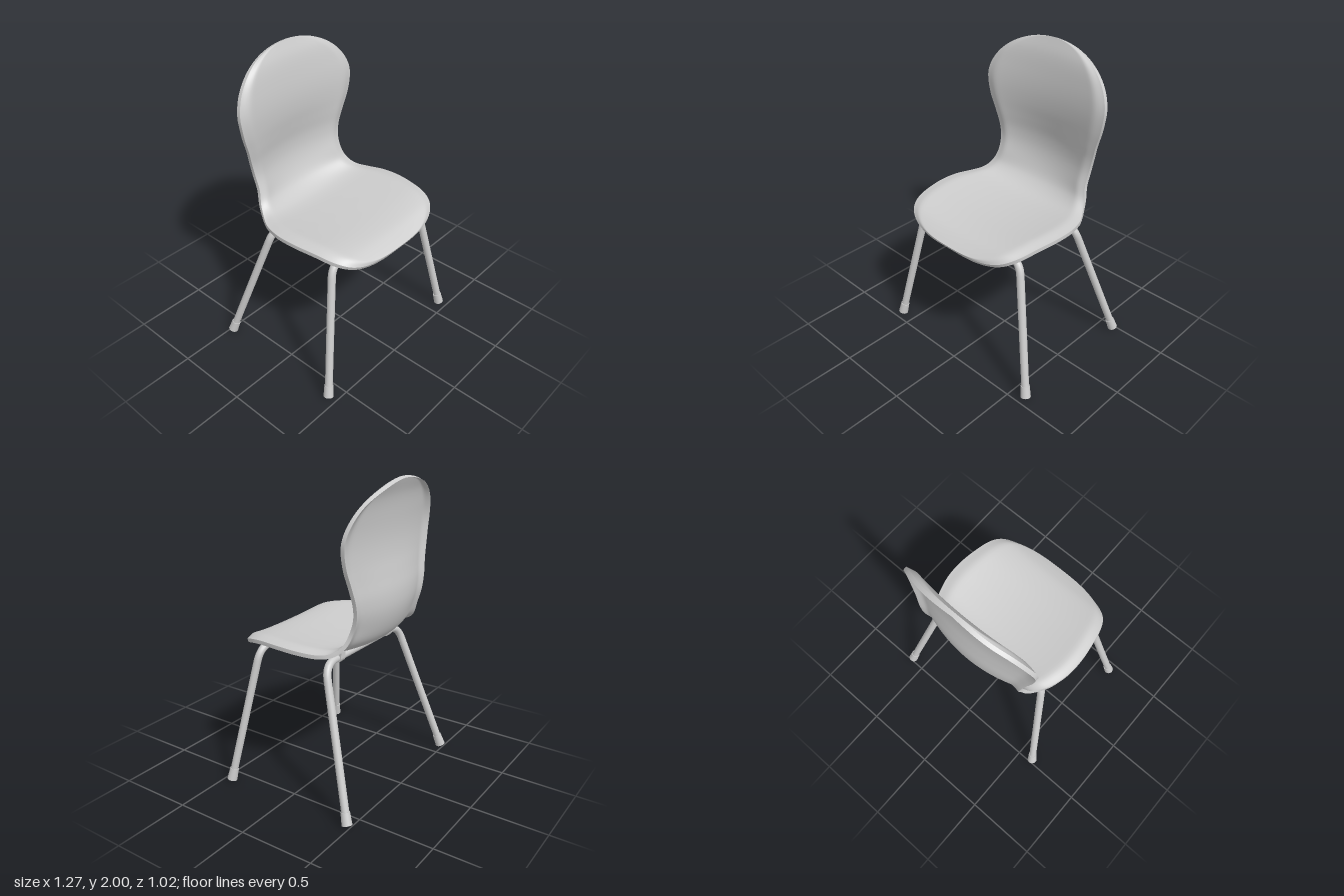
import * as THREE from 'three';

const V = (x, y, z) => new THREE.Vector3(x, y, z);
const material = new THREE.MeshStandardMaterial({ color: 0xcccccc, roughness: 0.6 });

function part(name, geometry) {
  const mesh = new THREE.Mesh(geometry, material);
  mesh.name = name;
  return mesh;
}

// Stations along the centre line of the shell, front lip to top of back:
// z, y, half-width, forward bowl of the sides
const STATIONS = [
  [0.50, 0.905, 0.49, 0], [0.45, 0.932, 0.49, 0.02], [0.39, 0.955, 0.49, 0.035],
  [0.28, 0.966, 0.495, 0.05], [0.10, 0.964, 0.52, 0.06], [-0.05, 0.959, 0.518, 0.06],
  [-0.18, 0.957, 0.485, 0.055], [-0.25, 0.967, 0.452, 0.055], [-0.31, 0.995, 0.423, 0.06],
  [-0.36, 1.04, 0.402, 0.07], [-0.40, 1.12, 0.383, 0.078], [-0.425, 1.22, 0.386, 0.075],
  [-0.427, 1.32, 0.402, 0.072], [-0.41, 1.43, 0.43, 0.068], [-0.393, 1.54, 0.466, 0.062],
  [-0.388, 1.65, 0.485, 0.058], [-0.397, 1.77, 0.487, 0.05], [-0.42, 1.90, 0.486, 0.035],
  [-0.458, 2.0, 0.486, 0],
];

// Rounded end of the outline: 0 at the tip, 1 at distance `length` from it
function cap(d, length, power) {
  const q = 1 - THREE.MathUtils.clamp(d / length, 0, 1);
  return Math.pow(Math.max(0, 1 - Math.pow(q, power)), 1 / power);
}

// Seat and back as one thin bent shell, built from closed cross-section loops
function shellGeometry() {
  const spine = new THREE.CatmullRomCurve3(STATIONS.map(([z, y]) => V(0, y, z)));
  const sizes = new THREE.CatmullRomCurve3(STATIONS.map(([, , w, b]) => V(w, b, 0)), false, 'catmullrom', 0.5);
  const rows = 110, cols = 40, half = 0.0125, loop = 2 * (cols + 1);
  const positions = [], index = [];
  for (let i = 0; i <= rows; i++) {
    const t = (1 - Math.cos(Math.PI * i / rows)) / 2;
    const p = spine.getPoint(t), tan = spine.getTangent(t), size = sizes.getPoint(t);
    const normal = V(0, -tan.z, tan.y);
    const end = t < 0.5 ? cap(0.5 - p.z, 0.3, 3) : cap(2 - p.y, 0.35, 2);
    for (let k = 0; k < loop; k++) {
      const top = k <= cols;
      const j = top ? k : loop - 1 - k;
      const v = Math.sin((2 * j / cols - 1) * Math.PI / 2);
      // sides rise forward, then the rim rolls back
      const lift = size.y * (v * end) ** 2
        - 0.035 * end * THREE.MathUtils.smoothstep(Math.abs(v), 0.82, 1.06);
      const q = p.clone().addScaledVector(normal, lift + (top ? half : -half));
      positions.push(v * end * size.x, q.y, q.z);
    }
  }
  for (let i = 0; i < rows; i++) {
    for (let k = 0; k < loop; k++) {
      const n = (k + 1) % loop;
      const a = i * loop + k, b = i * loop + n, c = a + loop, d = b + loop;
      index.push(a, b, c, b, d, c);
    }
  }
  const geometry = new THREE.BufferGeometry();
  geometry.setAttribute('position', new THREE.Float32BufferAttribute(positions, 3));
  geometry.setIndex(index);
  geometry.computeVertexNormals();
  return geometry;
}

// One bent tube: foot, bend, crossbar under the seat, bend, foot
function legFrame(name, footZ, barZ) {
  const group = new THREE.Group();
  group.name = name;
  const barY = 0.922, bend = 0.1;
  const foot = s => V(s * 0.605, 0.012, footZ);
  const corner = s => V(s * 0.42, barY, barZ);
  const onLeg = s => corner(s).add(foot(s).sub(corner(s)).normalize().multiplyScalar(bend));
  const onBar = s => V(s * (0.42 - bend), barY, barZ);
  const path = new THREE.CurvePath();
  path.add(new THREE.LineCurve3(foot(-1), onLeg(-1)));
  path.add(new THREE.QuadraticBezierCurve3(onLeg(-1), corner(-1), onBar(-1)));
  path.add(new THREE.LineCurve3(onBar(-1), onBar(1)));
  path.add(new THREE.QuadraticBezierCurve3(onBar(1), corner(1), onLeg(1)));
  path.add(new THREE.LineCurve3(onLeg(1), foot(1)));
  group.add(part('legTube', new THREE.TubeGeometry(path, 120, 0.025, 16)));

  for (const s of [-1, 1]) {
    // rubber foot aligned with the leg
    const dir = corner(s).sub(foot(s)).normalize();
    const cup = part('footCap', new THREE.CylinderGeometry(0.029, 0.033, 0.08, 20));
    cup.position.copy(foot(s)).addScaledVector(dir, 0.04);
    cup.quaternion.setFromUnitVectors(V(0, 1, 0), dir);
    group.add(cup);
    // clip holding the crossbar to the seat
    const clip = part('barClip', new THREE.CylinderGeometry(0.033, 0.033, 0.045, 12));
    clip.rotation.z = Math.PI / 2;
    clip.position.set(s * 0.28, barY + 0.003, barZ);
    const mount = part('clipMount', new THREE.BoxGeometry(0.045, 0.04, 0.066));
    mount.position.set(s * 0.28, barY + 0.023, barZ);
    group.add(clip, mount);
  }
  return group;
}

export function createModel() {
  const chair = new THREE.Group();
  chair.name = 'chair';
  chair.add(part('seatShell', shellGeometry()));
  chair.add(legFrame('frontLegs', 0.44, 0.31));
  chair.add(legFrame('backLegs', -0.478, -0.195));
  return chair;
}
